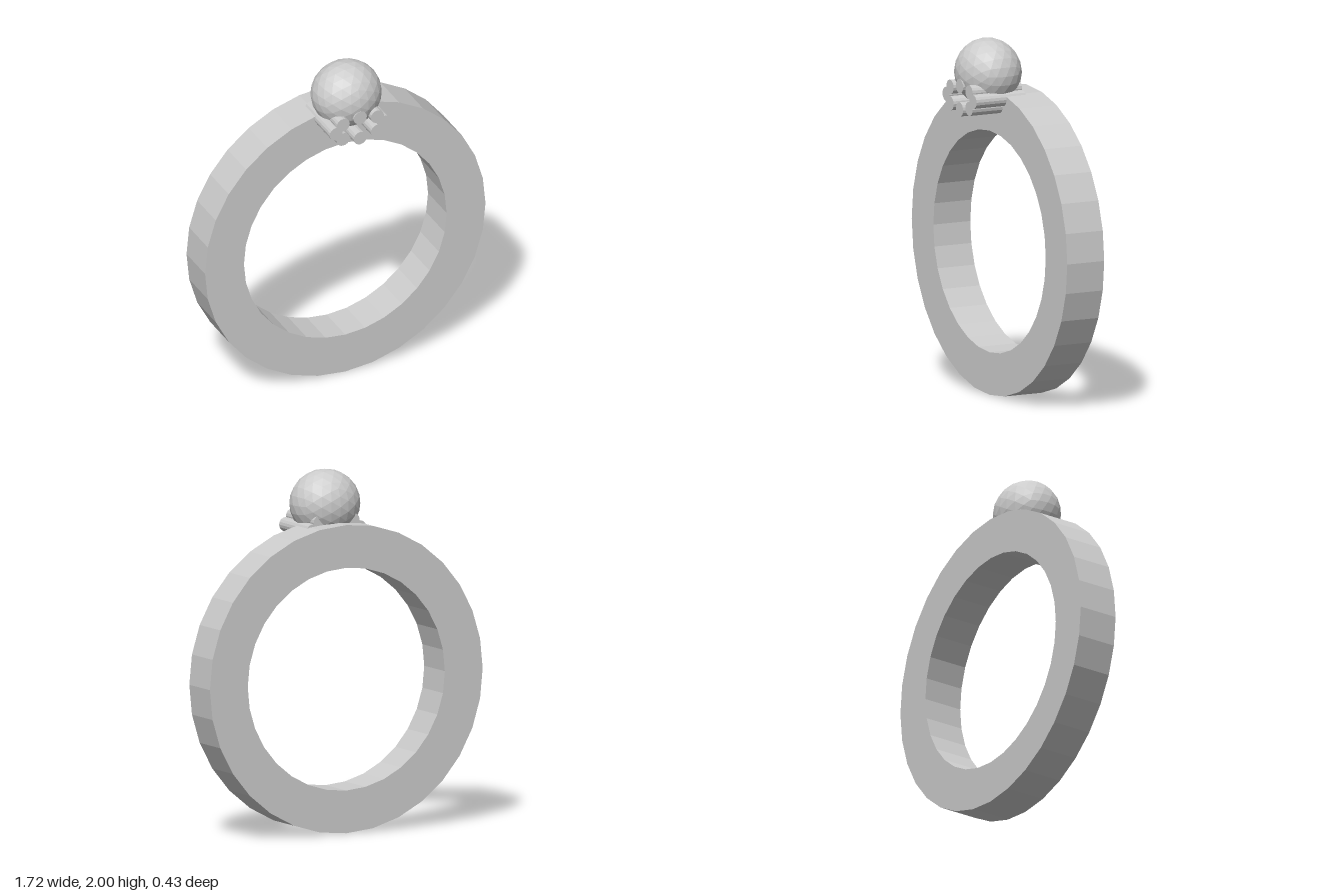
import * as THREE from 'three';

const material = new THREE.MeshStandardMaterial({ color: 0xcccccc, flatShading: true });

function addMesh(parent, name, geometry, x, y, z) {
  const mesh = new THREE.Mesh(geometry, material);
  mesh.name = name;
  mesh.position.set(x, y, z);
  parent.add(mesh);
  return mesh;
}

// Points of a regular polygon
function ringPoints(radius, sides) {
  return Array.from({ length: sides }, (_, i) => {
    const a = (i / sides) * Math.PI * 2;
    return new THREE.Vector2(Math.cos(a) * radius, Math.sin(a) * radius);
  });
}

export function createModel() {
  const model = new THREE.Group();
  model.name = 'ring';

  // Flat faceted band standing upright
  const bandShape = new THREE.Shape(ringPoints(0.858, 32));
  bandShape.holes.push(new THREE.Path(ringPoints(0.62, 32)));
  const bandGeometry = new THREE.ExtrudeGeometry(bandShape, { depth: 0.235, bevelEnabled: false });
  addMesh(model, 'band', bandGeometry, 0, 0.86, -0.215);

  // Faceted stone, slightly wider than deep
  const stone = addMesh(model, 'stone', new THREE.IcosahedronGeometry(1, 3), 0, 1.81, 0.03);
  stone.scale.set(0.2, 0.19, 0.183);

  // Eight prongs in an ellipse, lying front to back under the stone
  const prongs = new THREE.Group();
  prongs.name = 'prongs';
  model.add(prongs);
  const prongGeometry = new THREE.CylinderGeometry(0.04, 0.04, 0.315, 16).rotateX(Math.PI / 2);
  for (let i = 0; i < 8; i++) {
    const a = (i / 8) * Math.PI * 2;
    addMesh(prongs, 'prong', prongGeometry, Math.cos(a) * 0.148, 1.679 + Math.sin(a) * 0.065, 0.053);
  }

  return model;
}
